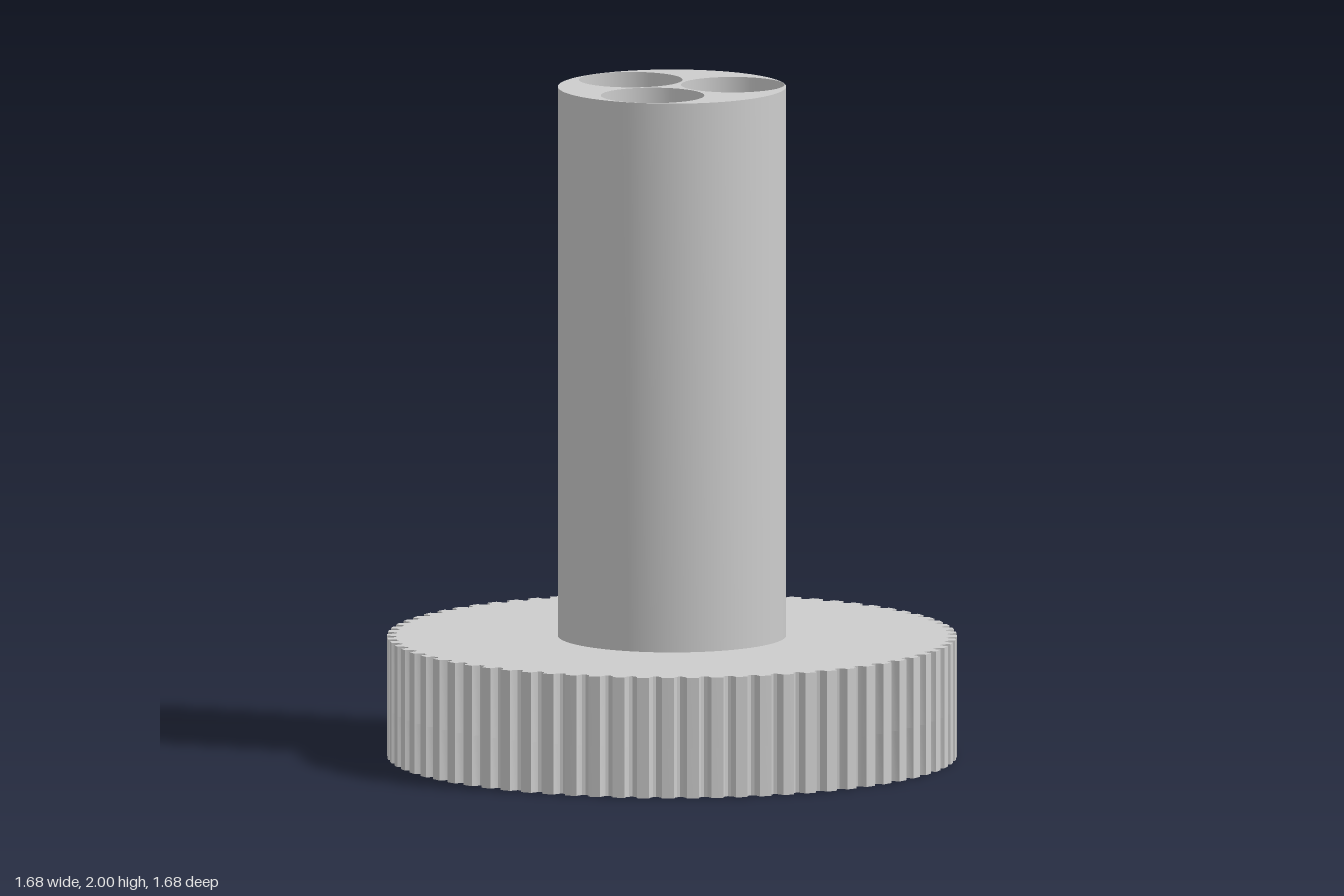
import * as THREE from 'three';
import { toCreasedNormals } from 'three/addons/utils/BufferGeometryUtils.js';

const TEETH = 72, RIM = 0.842, STEM = 0.3375;
const HOLE_OFFSET = 0.183, BORE = 0.153, SHAFT = 0.097, HEX = 0.165;
const POCKET_TOP = 0.15, GEAR_TOP = 0.36, TOP = 2;

// Wheel outline with rounded notches
function toothedOutline() {
  const pts = [];
  const half = 0.019 / RIM;
  for (let i = 0; i < TEETH; i++) {
    const a = (i / TEETH) * Math.PI * 2;
    for (let k = 0; k <= 6; k++) {
      const t = (k / 6) * Math.PI;
      const ang = a - half * Math.cos(t);
      const r = RIM - 0.029 * Math.sin(t);
      pts.push(new THREE.Vector2(r * Math.cos(ang), r * Math.sin(ang)));
    }
    const mid = a + Math.PI / TEETH;
    pts.push(new THREE.Vector2(RIM * Math.cos(mid), RIM * Math.sin(mid)));
  }
  return pts;
}

function ring(radius, sides, cx = 0, cy = 0) {
  return Array.from({ length: sides }, (_, i) => {
    const a = (i / sides) * Math.PI * 2;
    return new THREE.Vector2(cx + radius * Math.cos(a), cy + radius * Math.sin(a));
  });
}

// Upright slab with three holes spaced evenly round the axis
function slab(name, outline, holeRadius, holeSides, y0, y1, material) {
  const shape = new THREE.Shape(outline);
  for (let i = 0; i < 3; i++) {
    const a = Math.PI + (i * Math.PI * 2) / 3;
    const cx = HOLE_OFFSET * Math.cos(a), cy = HOLE_OFFSET * Math.sin(a);
    shape.holes.push(new THREE.Path(ring(holeRadius, holeSides, cx, cy)));
  }
  const extruded = new THREE.ExtrudeGeometry(shape, { depth: y1 - y0, bevelEnabled: false });
  extruded.rotateX(-Math.PI / 2);
  extruded.translate(0, y0, 0);
  const mesh = new THREE.Mesh(toCreasedNormals(extruded, 0.5), material);
  mesh.name = name;
  return mesh;
}

export function createModel() {
  const grey = new THREE.MeshStandardMaterial({ color: 0xcccccc });
  grey.name = 'plain grey';

  const group = new THREE.Group();
  group.name = 'toothedPulley';
  const teeth = toothedOutline();
  group.add(
    // Lower wheel with hexagonal nut pockets
    slab('wheelNutPockets', teeth, HEX, 6, 0, POCKET_TOP, grey),
    // Upper wheel with narrow bolt holes
    slab('wheelBoltHoles', teeth, SHAFT, 48, POCKET_TOP, GEAR_TOP, grey),
    // Tall stem with wide bores
    slab('stem', ring(STEM, 96), BORE, 64, GEAR_TOP, TOP, grey)
  );
  return group;
}
